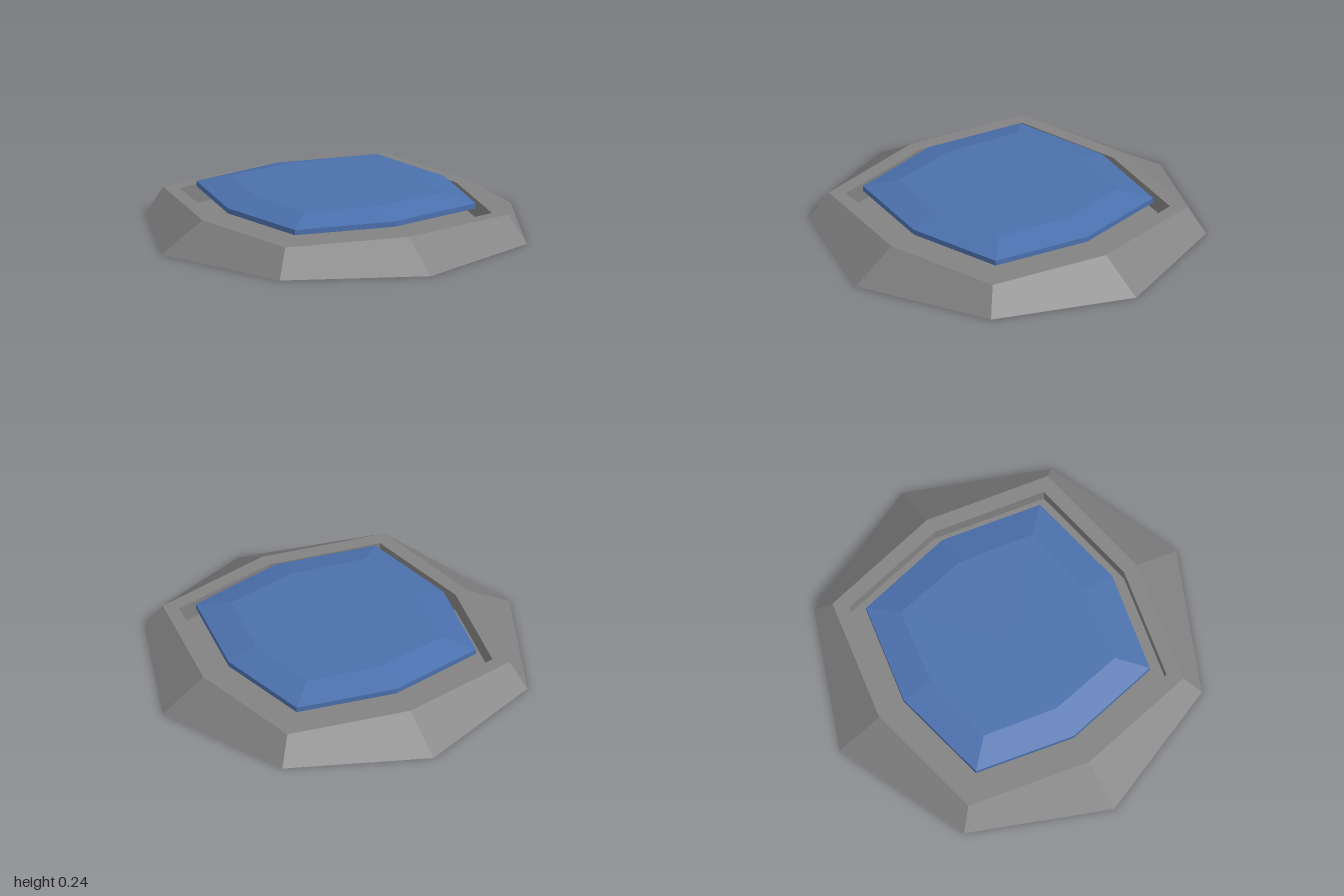
import * as THREE from 'three';

// Uneven octagon: a = reach along the axes, d = x and z of the diagonal corners
function octagon(a, d, y) {
  return [[a, 0], [d, d], [0, a], [-d, d], [-a, 0], [-d, -d], [0, -a], [d, -d]]
    .map(([x, z]) => new THREE.Vector3(x, y, z));
}

// Solid through octagonal rings, listed from the bottom up the outside and then
// inwards; both ends close on a centre point. Each panel has one shared normal.
function ringSolid(name, profile, startY, endY, material) {
  const rings = profile.map((p) => octagon(...p));
  const pos = [], nor = [];
  const face = (corners, u, v) => {
    const n = u.clone().cross(v).normalize();
    corners.forEach((c) => {
      pos.push(c.x, c.y, c.z);
      nor.push(n.x, n.y, n.z);
    });
  };
  const tri = (a, b, c) => face([a, b, c], b.clone().sub(a), c.clone().sub(a));
  // Bent panels fold from the lower axis corner to the upper diagonal corner
  const quad = (a, b, c, d, foldAC) => face(
    foldAC ? [a, b, c, a, c, d] : [a, b, d, b, c, d],
    c.clone().sub(a), d.clone().sub(b));

  const start = new THREE.Vector3(0, startY, 0);
  const end = new THREE.Vector3(0, endY, 0);
  const last = rings[rings.length - 1];
  for (let i = 0; i < 8; i++) {
    const j = (i + 1) % 8;
    tri(start, rings[0][i], rings[0][j]);
    for (let k = 0; k < rings.length - 1; k++) {
      const lo = rings[k], hi = rings[k + 1];
      quad(lo[i], hi[i], hi[j], lo[j], i % 2 === 0);
    }
    tri(end, last[j], last[i]);
  }
  const geometry = new THREE.BufferGeometry();
  geometry.setAttribute('position', new THREE.Float32BufferAttribute(pos, 3));
  geometry.setAttribute('normal', new THREE.Float32BufferAttribute(nor, 3));
  const mesh = new THREE.Mesh(geometry, material);
  mesh.name = name;
  return mesh;
}

export function createModel() {
  const group = new THREE.Group();
  group.name = 'pressurePlate';
  const grey = new THREE.MeshStandardMaterial({ color: 0x828282 });
  const blue = new THREE.MeshStandardMaterial({ color: 0x4b70ad });

  // Sloped base with a flat rim and a recess
  group.add(ringSolid('base', [
    [1, 0.707, 0],
    [0.765, 0.64, 0.147],
    [0.69, 0.578, 0.147],
    [0.69, 0.578, 0.05],
  ], 0, 0.05, grey));

  // Floating plate with a bevelled, almost flat top
  group.add(ringSolid('plate', [
    [0.62, 0.517, 0.164],
    [0.62, 0.517, 0.191],
    [0.46, 0.39, 0.233],
  ], 0.164, 0.235, blue));

  // Square stem that carries the plate through the base
  const stem = new THREE.Mesh(new THREE.BoxGeometry(0.125, 0.17, 0.125), blue);
  stem.name = 'stem';
  stem.position.y = 0.0845;
  group.add(stem);

  return group;
}
